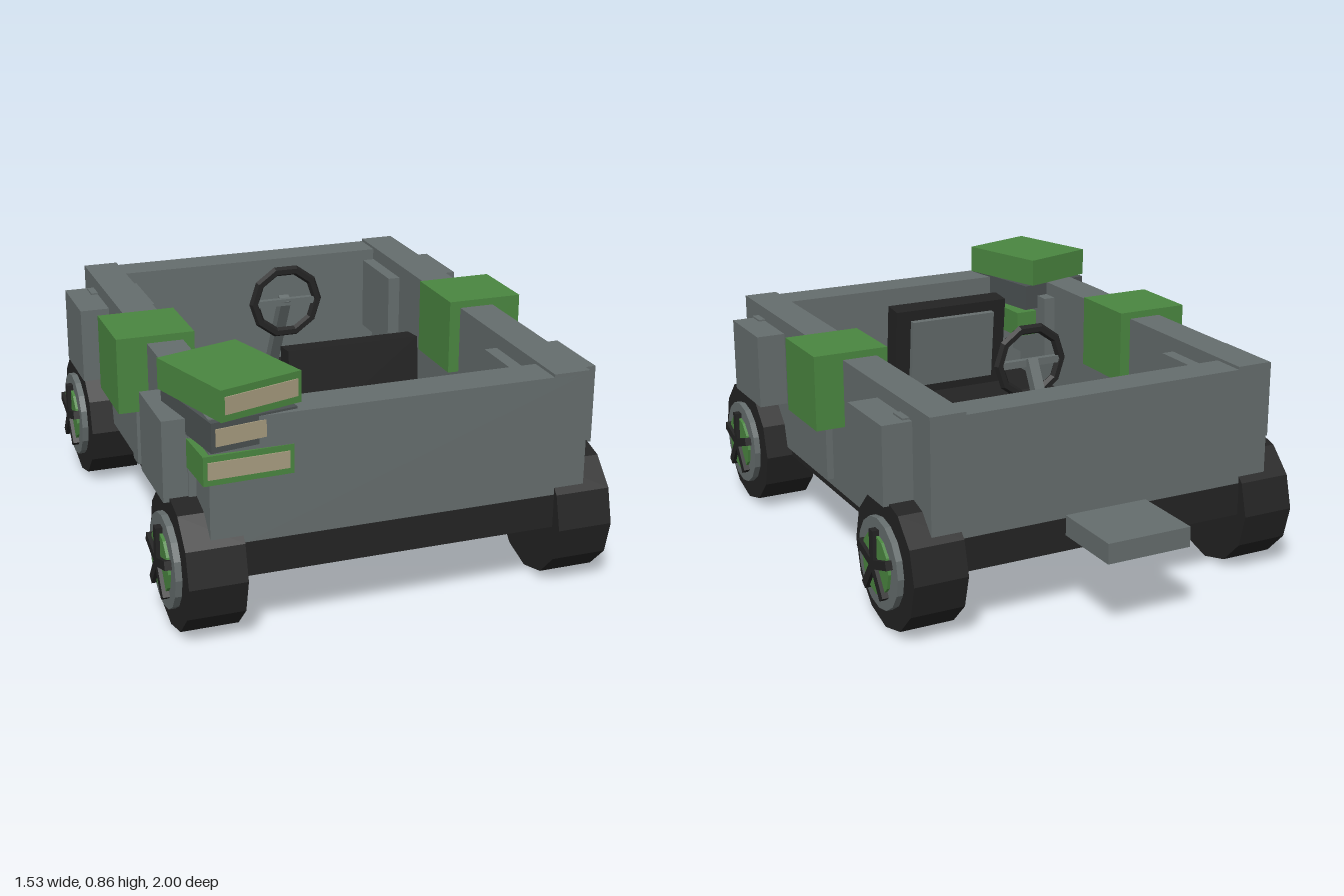
import * as THREE from 'three';

export function createModel() {
  const model = new THREE.Group();
  const mat = (name, color) => {
    const m = new THREE.MeshStandardMaterial({ color, flatShading: true });
    m.name = name;
    return m;
  };
  const grey = mat('bodyGrey', 0x656d6d);
  const darkGrey = mat('darkGrey', 0x4a5051);
  const black = mat('rubberBlack', 0x232323);
  const green = mat('paintGreen', 0x4a8640);
  const beige = mat('lampBeige', 0xa89d80);

  const add = (name, geo, material, parent = model) => {
    const mesh = new THREE.Mesh(geo, material);
    mesh.name = name;
    parent.add(mesh);
    return mesh;
  };
  // Box given by its extents on each axis
  const box = (name, [x0, x1], [y0, y1], [z0, z1], material, parent) => {
    const m = add(name, new THREE.BoxGeometry(x1 - x0, y1 - y0, z1 - z0), material, parent);
    m.position.set((x0 + x1) / 2, (y0 + y1) / 2, (z0 + z1) / 2);
    return m;
  };
  // Extents mirrored to the chosen side
  const side = (s, a, b) => (s > 0 ? [a, b] : [-b, -a]);

  // Open tub
  box('floor', [-0.62, 0.62], [0.225, 0.34], [-0.732, 0.952], black);
  box('frontWall', [-0.63, 0.63], [0.3, 0.75], [0.815, 0.95], grey);
  box('backWall', [-0.63, 0.63], [0.3, 0.75], [-0.73, -0.605], grey);
  box('towPlate', [-0.153, 0.153], [0.28, 0.35], [-1, -0.73], grey);

  for (const s of [1, -1]) {
    box('sideWall', side(s, 0.51, 0.635), [0.26, 0.76], [-0.73, 0.95], grey);

    // Wheel boxes that pass through the walls, with their mounting straps
    for (const [z0, z1] of [[0.53, 0.8], [-0.6, -0.33]]) {
      box('wheelBox', side(s, 0.465, 0.74), [0.44, 0.71], [z0, z1], grey);
    }
    box('frontStrap', side(s, 0.6, 0.66), [0.4, 0.716], [0.735, 0.806], grey);
    box('rearStrap', side(s, 0.6, 0.66), [0.4, 0.716], [-0.58, -0.51], grey);

    // Saddle box over the side wall
    box('saddleBox', side(s, 0.47, 0.74), [0.52, 0.785], [-0.04, 0.23], green);
    box('saddleStrap', side(s, 0.6, 0.66), [0.29, 0.52], [0.08, 0.145], grey);

    // Wheels
    for (const z of [0.77, -0.55]) {
      const wheel = new THREE.Group();
      wheel.name = 'wheel';
      wheel.position.set(0, 0.23, z);
      model.add(wheel);
      const disc = (name, r, x0, x1, n, material) => {
        const m = add(name, new THREE.CylinderGeometry(r, r, x1 - x0, n), material, wheel);
        m.rotation.z = Math.PI / 2;
        m.position.x = s * (x0 + x1) / 2;
      };
      disc('tyre', 0.23, 0.53, 0.72, 12, black);
      disc('rim', 0.156, 0.7, 0.742, 16, grey);
      disc('hub', 0.105, 0.72, 0.752, 12, green);
      for (let i = 0; i < 5; i++) {
        const g = new THREE.BoxGeometry(0.026, 0.12, 0.03).translate(0, 0.06, 0);
        const spoke = add('spoke', g, black, wheel);
        spoke.position.x = s * 0.752;
        spoke.rotation.x = (i * Math.PI * 2) / 5;
      }
    }
  }

  // Seat with slightly forward-leaning backrest
  box('seat', [-0.23, 0.23], [0.33, 0.42], [0.01, 0.5], black);
  const backrest = new THREE.Group();
  backrest.name = 'backrest';
  backrest.position.set(0, 0.6, 0.475);
  backrest.rotation.x = -0.1;
  model.add(backrest);
  box('backrestFrame', [-0.228, 0.228], [-0.17, 0.17], [-0.04, 0.04], black, backrest);
  box('backrestPanel', [-0.17, 0.17], [-0.13, 0.13], [-0.062, -0.04], grey, backrest);

  // Steering wheel: ring, crossbar and column
  const ring = add('steeringRing', new THREE.TorusGeometry(0.122, 0.018, 6, 10), black);
  ring.position.set(0, 0.71, -0.2);
  ring.rotation.z = Math.PI / 10 - Math.PI / 10;
  box('steeringCrossbar', [-0.11, 0.11], [0.695, 0.72], [-0.212, -0.19], grey);
  const column = add('steeringColumn', new THREE.BoxGeometry(0.038, 0.44, 0.038), grey);
  column.position.set(0, 0.525, -0.31);
  column.rotation.x = Math.atan2(0.2, 0.37);

  // Stack of three lamp boxes at the front right corner
  const lamps = [
    ['topLamp', -0.518, 0.778, 0.76, 0.862, 0.297, green],
    ['middleLamp', -0.52, 0.778, 0.66, 0.757, 0.17, darkGrey],
    ['lowerLamp', -0.518, 0.78, 0.55, 0.646, 0.04, green],
  ];
  for (const [name, x, z, y0, y1, turn, material] of lamps) {
    const lamp = new THREE.Group();
    lamp.name = name;
    lamp.position.set(x, (y0 + y1) / 2, z);
    lamp.rotation.y = turn;
    model.add(lamp);
    const h = (y1 - y0) / 2;
    box('lampCase', [-0.146, 0.146], [-h, h], [-0.177, 0.177], material, lamp);
    box('lampFace', [-0.132, 0.132], [-0.028, 0.028], [0.174, 0.181], beige, lamp);
  }

  // Faceted gem set through the left wall
  const gem = add('cornerGem', new THREE.OctahedronGeometry(0.137), green);
  gem.position.set(0.545, 0.59, 0.79);
  gem.rotation.y = -0.4;

  return model;
}
